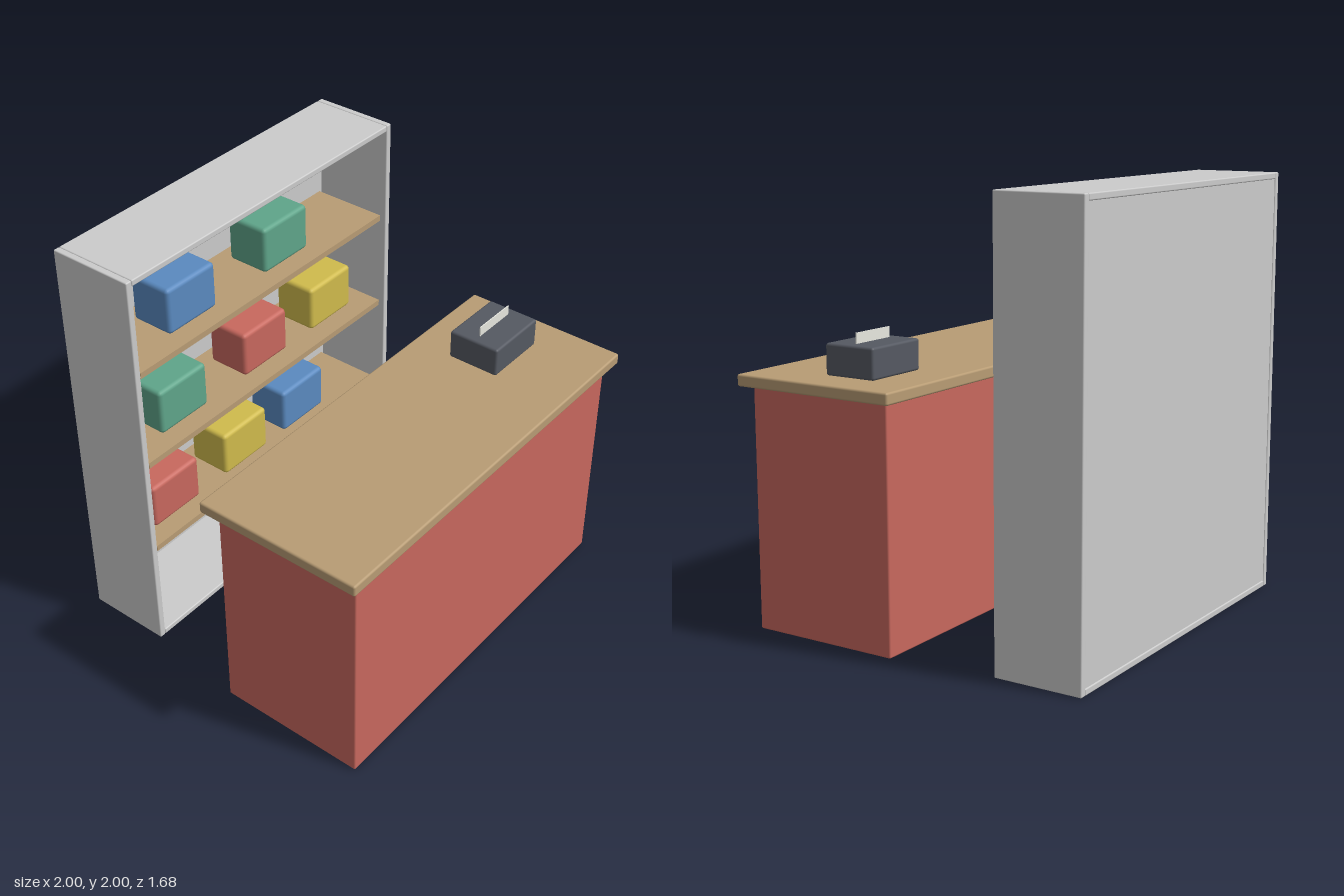
import * as THREE from 'three';
import { RoundedBoxGeometry } from 'three/addons/geometries/RoundedBoxGeometry.js';

const material = (color) => new THREE.MeshStandardMaterial({ color });

// Box given by its [min, max] range on each axis; radius 0 keeps sharp edges
function block(name, [x0, x1], [y0, y1], [z0, z1], mat, radius = 0) {
  const size = [x1 - x0, y1 - y0, z1 - z0];
  const geometry = radius
    ? new RoundedBoxGeometry(...size, 2, radius)
    : new THREE.BoxGeometry(...size);
  const mesh = new THREE.Mesh(geometry, mat);
  mesh.name = name;
  mesh.position.set((x0 + x1) / 2, (y0 + y1) / 2, (z0 + z1) / 2);
  return mesh;
}

function group(name, ...parts) {
  const g = new THREE.Group();
  g.name = name;
  g.add(...parts);
  return g;
}

export function createModel() {
  const grey = material(0xcccccc);
  const wood = material(0xb89c74);
  const red = material(0xc8685e);
  const blue = material(0x5a8ac0);
  const green = material(0x5fa58a);
  const yellow = material(0xd0bb4c);
  const dark = material(0x555962);
  const paper = material(0xe8e8e0);

  // Counter with an overhanging top
  const counter = group('counter',
    block('counterBody', [-0.94, 0.94], [0, 1.112], [0.07, 0.8], red, 0.008),
    block('counterTop', [-1, 1], [1.112, 1.167], [0.02, 0.84], wood, 0.01));

  // Till with a slip of paper standing in its top
  const till = group('till',
    block('tillBody', [0.49, 0.82], [1.167, 1.31], [0.23, 0.49], dark, 0.012),
    block('receipt', [0.54, 0.77], [1.25, 1.358], [0.357, 0.362], paper));

  // Open-fronted cabinet
  const depth = [-0.84, -0.42];
  const cabinet = group('cabinet',
    block('topPanel', [-0.848, 0.848], [1.97, 2], depth, grey, 0.006),
    block('bottomPanel', [-0.848, 0.848], [0, 0.03], depth, grey, 0.006),
    block('backPanel', [-0.848, 0.848], [0.03, 1.97], [-0.835, -0.82], grey));
  for (const side of [-1, 1]) {
    const x = side < 0 ? [-0.88, -0.848] : [0.848, 0.88];
    cabinet.add(block(side < 0 ? 'rightPanel' : 'leftPanel', x, [0, 2], depth, grey, 0.006));
  }

  // Shelves, each with its row of boxes: [centre x, colour]
  const rows = [
    [0.54, [[-0.59, red], [-0.1, yellow], [0.335, blue]]],
    [1.03, [[-0.495, green], [0.07, red], [0.56, yellow]]],
    [1.52, [[-0.4, blue], [0.235, green]]],
  ];
  for (const [y, boxes] of rows) {
    cabinet.add(block('shelf', [-0.848, 0.848].map((x) => x * 0.98), [y - 0.03, y], [-0.82, -0.44], wood));
    for (const [x, mat] of boxes) {
      cabinet.add(block('stockBox', [x - 0.152, x + 0.152], [y, y + 0.23], [-0.75, -0.53], mat, 0.02));
    }
  }

  return group('shopCounter', counter, till, cabinet);
}
